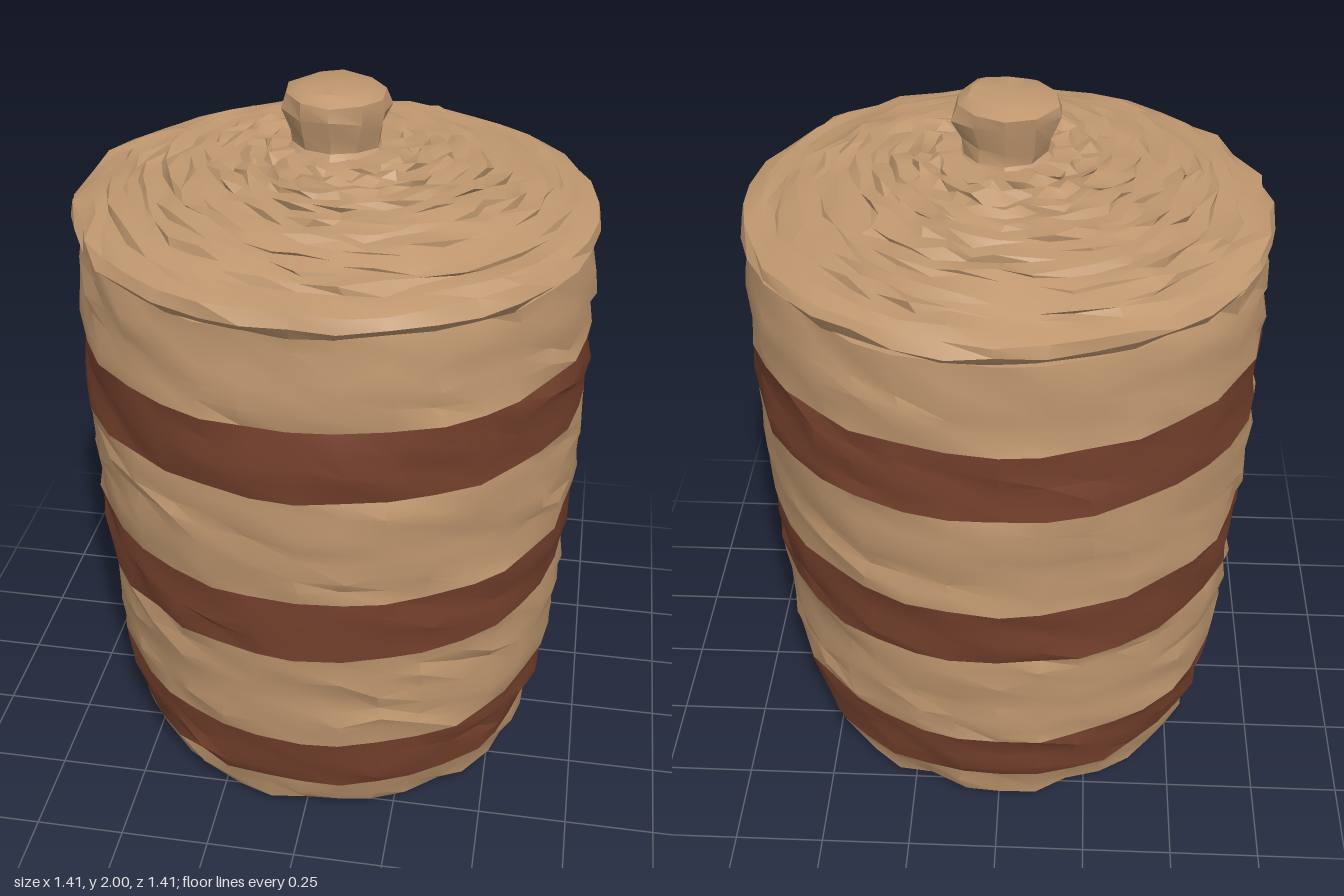
import * as THREE from 'three';
import { toCreasedNormals } from 'three/addons/utils/BufferGeometryUtils.js';

const clay = new THREE.MeshStandardMaterial({ color: 0xbf976f });
clay.name = 'tan clay';
const paint = new THREE.MeshStandardMaterial({ color: 0x74402c });
paint.name = 'red brown stripe';

// Repeatable noise in -1..1 from a side number and a height/radius key
function noise(a, b, c) {
  const s = Math.sin(a * 127.1 + b * 311.7 + c * 74.7) * 43758.5453;
  return (s - Math.floor(s)) * 2 - 1;
}

// Lathe with hand-worked unevenness. Profile rows: [radius, y, radius noise, y noise]
function roughLathe(name, rows, sides, material, crease) {
  const geo = new THREE.LatheGeometry(rows.map(([r, y]) => new THREE.Vector2(r, y)), sides);
  const pos = geo.attributes.position;
  for (let i = 0; i < pos.count; i++) {
    const [r, y, dr = 0, dy = 0] = rows[i % rows.length];
    const side = Math.floor(i / rows.length) % sides;
    const key = Math.round(y * 1000) / 100;
    const angle = (side / sides) * Math.PI * 2 + (r ? noise(side, key, 3) * Math.min(dr * 2, 0.05) : 0);
    const radius = Math.max(0, r + noise(side, key, 1) * dr);
    pos.setXYZ(i, radius * Math.sin(angle), y + noise(side, key, 2) * dy, radius * Math.cos(angle));
  }
  const mesh = new THREE.Mesh(toCreasedNormals(geo, crease), material);
  mesh.name = name;
  return mesh;
}

// Wall radius at any height
const wall = [[0, 0.5], [0.03, 0.57], [0.14, 0.61], [0.32, 0.643], [0.65, 0.667], [0.85, 0.682],
  [1.17, 0.695], [1.37, 0.697], [1.5, 0.69], [1.63, 0.678]];
function wallRadius(y) {
  const k = Math.max(1, wall.findIndex(([h]) => h >= y));
  const [y0, r0] = wall[k - 1], [y1, r1] = wall[k];
  return r0 + (r1 - r0) * (y - y0) / (y1 - y0);
}

export function createModel() {
  const group = new THREE.Group();
  group.name = 'lidded clay jar';

  // Body: alternating clay and painted bands meeting on level rings
  const levels = [0, 0.14, 0.32, 0.65, 0.845, 1.17, 1.375, 1.63];
  for (let b = 0; b < levels.length - 1; b++) {
    const y0 = levels[b], y1 = levels[b + 1];
    const steps = Math.round((y1 - y0) / 0.047);
    const rows = [];
    if (b === 0) rows.push([0, 0]);
    for (let i = 0; i <= steps; i++) {
      const y = y0 + (y1 - y0) * i / steps;
      const level = i === 0 || i === steps;
      rows.push([wallRadius(y), y, 0.011, level ? 0 : 0.015]);
    }
    if (b === levels.length - 2) rows.push([0, 1.63]);
    const painted = b % 2 === 1;
    group.add(roughLathe(painted ? 'painted band' : 'clay band', rows, 36, painted ? paint : clay, 0.55));
  }

  // Lid: overhanging rim, then coils that step up to the middle
  const lid = [[0, 1.64], [0.6, 1.64], [0.675, 1.628, 0.01, 0.008], [0.7, 1.662, 0.008, 0.01],
    [0.685, 1.692, 0.012, 0.008], [0.645, 1.708, 0.012, 0.008]];
  const coils = 9;
  for (let i = 0; i < coils; i++) {
    const t = i / coils;
    const r = 0.61 - t * 0.47;
    const y = 1.711 + 0.112 * Math.sin(t * Math.PI / 2);
    lid.push([r, y, 0.016, 0.007], [r - 0.013, y + 0.014, 0.016, 0.009]);
  }
  lid.push([0.1, 1.835], [0, 1.84]);
  group.add(roughLathe('coiled lid', lid, 38, clay, 0.4));

  // Knob: faceted, flaring upward to a flat top
  const knob = [[0.145, 1.81], [0.115, 1.845, 0.008, 0.006], [0.118, 1.88, 0.008, 0.008],
    [0.14, 1.94, 0.008, 0.012], [0.135, 1.975, 0.01, 0.006], [0.095, 1.997, 0.01, 0.003], [0, 2]];
  group.add(roughLathe('lid knob', knob, 10, clay, 0.5));

  return group;
}
